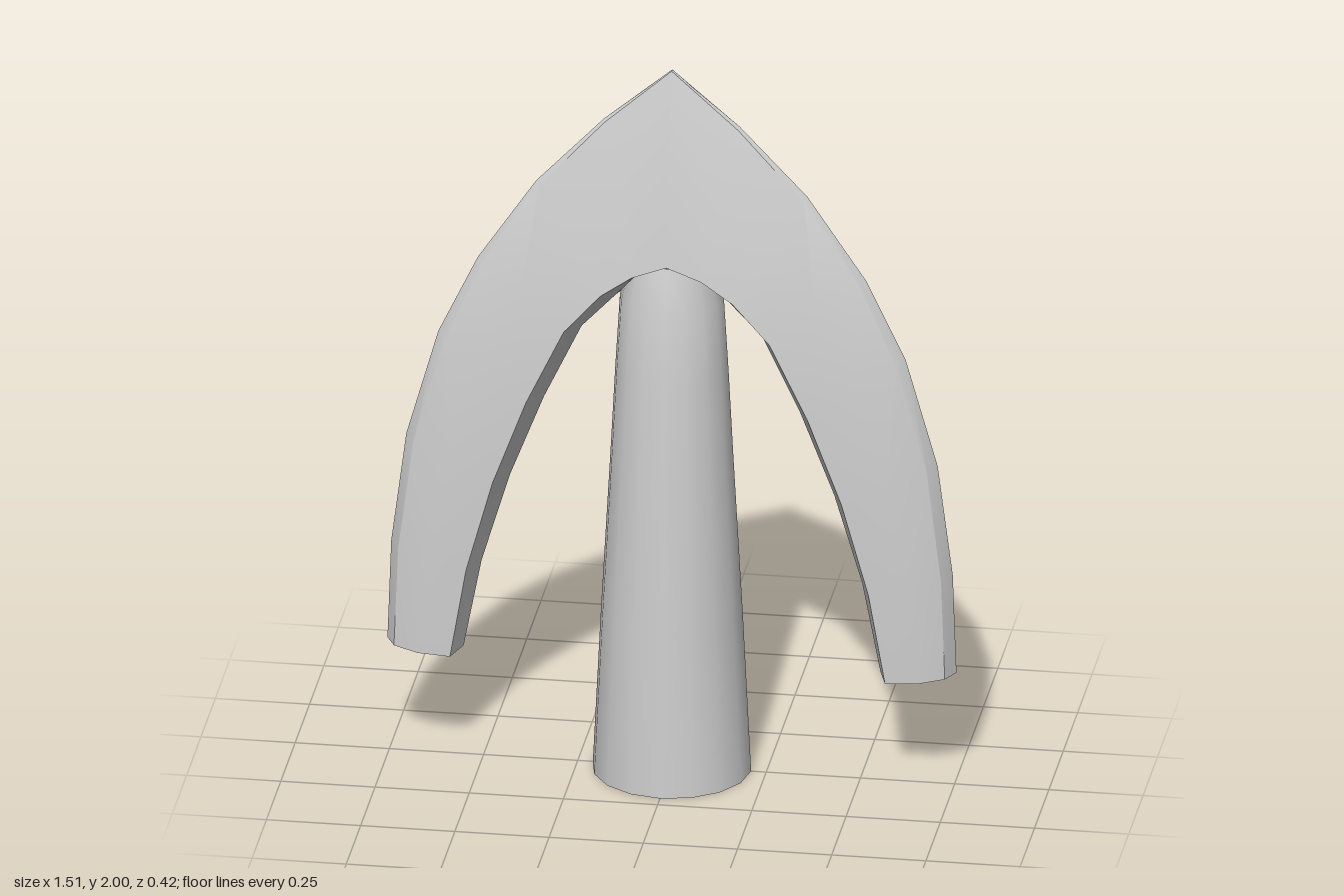
import * as THREE from 'three';
import { toCreasedNormals } from 'three/addons/utils/BufferGeometryUtils.js';

// Stations from apex to arm tip:
// outer x, y, inner x, y, half thickness at inner corner, middle and outer corner
const STATIONS = [
  [0, 2, 0, 1.43, 0.1, 0.062, 0.006],
  [0.18, 1.85, 0.085, 1.405, 0.1, 0.063, 0.01],
  [0.36, 1.66, 0.15, 1.345, 0.1, 0.066, 0.014],
  [0.515, 1.43, 0.24, 1.25, 0.098, 0.07, 0.02],
  [0.62, 1.21, 0.34, 1.04, 0.094, 0.074, 0.026],
  [0.705, 0.91, 0.43, 0.81, 0.09, 0.077, 0.034],
  [0.745, 0.6, 0.505, 0.56, 0.085, 0.078, 0.042],
  [0.755, 0.32, 0.553, 0.31, 0.08, 0.078, 0.046],
];

// Half of the arched head: an eight-sided section swept down one arm
function armGeometry(side) {
  const pos = [], index = [], n = 8;
  STATIONS.forEach(([ox, oy, ix, iy, zi, zm, zo], s) => {
    const outer = 1 - 0.12 * s / (STATIONS.length - 1);
    const inner = s < 2 ? 0.08 : 0.12;
    const ring = [
      [0, 0], [inner, zi], [0.55, zm], [outer, zo],
      [1, 0], [outer, -zo], [0.55, -zm], [inner, -zi],
    ];
    for (const [f, z] of ring) pos.push(side * (ix + (ox - ix) * f), iy + (oy - iy) * f, z);
  });
  const tri = (a, b, c) => (side > 0 ? index.push(a, b, c) : index.push(a, c, b));
  for (let s = 0; s < STATIONS.length - 1; s++) {
    for (let k = 0; k < n; k++) {
      const a = s * n + k, b = s * n + (k + 1) % n;
      tri(a, a + n, b);
      tri(b, a + n, b + n);
    }
  }
  // tip cap
  const base = (STATIONS.length - 1) * n;
  for (let k = 1; k < n - 1; k++) tri(base, base + k + 1, base + k);
  const geo = new THREE.BufferGeometry();
  geo.setAttribute('position', new THREE.Float32BufferAttribute(pos, 3));
  geo.setIndex(index);
  return toCreasedNormals(geo, 0.5);
}

// Tapered round stem, flattened front to back where it meets the head
function stemGeometry() {
  const profile = [[0, 0], [0.21, 0], [0.188, 0.45], [0.163, 0.9], [0.15, 1.15], [0.138, 1.35], [0.11, 1.47], [0, 1.5]];
  const geo = new THREE.LatheGeometry(profile.map(([r, y]) => new THREE.Vector2(r, y)), 16);
  const p = geo.attributes.position;
  for (let i = 0; i < p.count; i++) {
    const t = Math.max(0, (p.getY(i) - 0.9) / 0.57);
    p.setZ(i, p.getZ(i) * (1 - 0.14 * t));
  }
  return toCreasedNormals(geo, 0.6);
}

export function createModel() {
  const group = new THREE.Group();
  group.name = 'prongedArrowhead';
  const grey = new THREE.MeshStandardMaterial({ color: 0xcccccc, side: THREE.DoubleSide });
  grey.name = 'light grey';
  const add = (name, geo) => {
    const mesh = new THREE.Mesh(geo, grey);
    mesh.name = name;
    group.add(mesh);
  };
  add('stem', stemGeometry());
  add('leftArm', armGeometry(1));
  add('rightArm', armGeometry(-1));
  return group;
}
